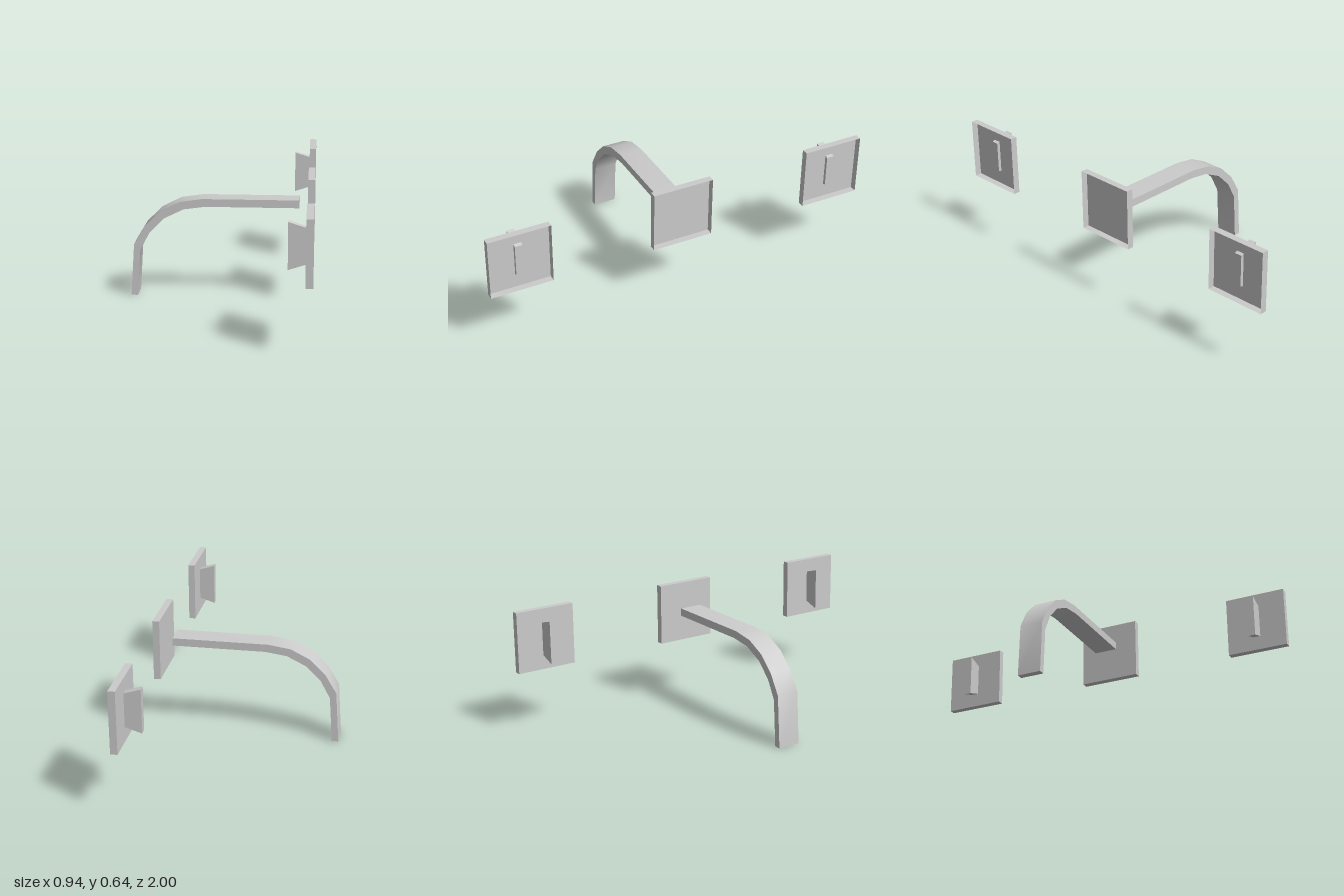
import * as THREE from 'three';
import { toCreasedNormals } from 'three/addons/utils/BufferGeometryUtils.js';

const material = new THREE.MeshStandardMaterial({ color: 0xcccccc, side: THREE.DoubleSide });

// Side outline in x and y, extruded to a given width and centred on z = 0
function slab(points, width) {
  const shape = new THREE.Shape(points.map(([x, y]) => new THREE.Vector2(x, y)));
  const geometry = new THREE.ExtrudeGeometry(shape, { depth: width, bevelEnabled: false });
  geometry.translate(0, 0, -width / 2);
  return toCreasedNormals(geometry, 0.6);
}

// Shallow tray: a thin-walled box without its +x face
function tray() {
  const geometry = new THREE.BoxGeometry(0.035, 0.315, 0.315);
  geometry.setIndex(Array.from(geometry.index.array).slice(6));
  geometry.clearGroups();
  return geometry;
}

function addMesh(parent, name, geometry, x, y, z) {
  const mesh = new THREE.Mesh(geometry, material);
  mesh.name = name;
  mesh.position.set(x, y, z);
  parent.add(mesh);
  return mesh;
}

export function createModel() {
  const model = new THREE.Group();
  model.name = 'bracketSet';

  // Curved arm: outer edge, then inner edge back to the foot
  const armOutline = [
    [-0.47, 0], [-0.453, 0.27], [-0.395, 0.368], [-0.314, 0.447],
    [-0.218, 0.495], [-0.105, 0.512], [0.39, 0.512],
    [0.39, 0.472], [-0.088, 0.472], [-0.197, 0.457], [-0.296, 0.409],
    [-0.372, 0.333], [-0.421, 0.241], [-0.436, 0],
  ];
  addMesh(model, 'curvedArm', slab(armOutline, 0.12), 0, 0, 0);

  // Three mounting plates in a row
  const plateX = 0.451, plateY = 0.481, spacing = 0.8425;
  addMesh(model, 'centrePlate', tray(), plateX, plateY, 0);

  // Tapered tabs that pass through the outer plates
  const tabOutline = [[0.352, 0.37], [0.45, 0.402], [0.45, 0.562], [0.352, 0.592]];
  for (const side of [-1, 1]) {
    const label = side > 0 ? 'front' : 'back';
    addMesh(model, label + 'Plate', tray(), plateX, plateY, side * spacing);
    addMesh(model, label + 'Tab', slab(tabOutline, 0.038), 0, 0, side * spacing);
  }
  return model;
}
